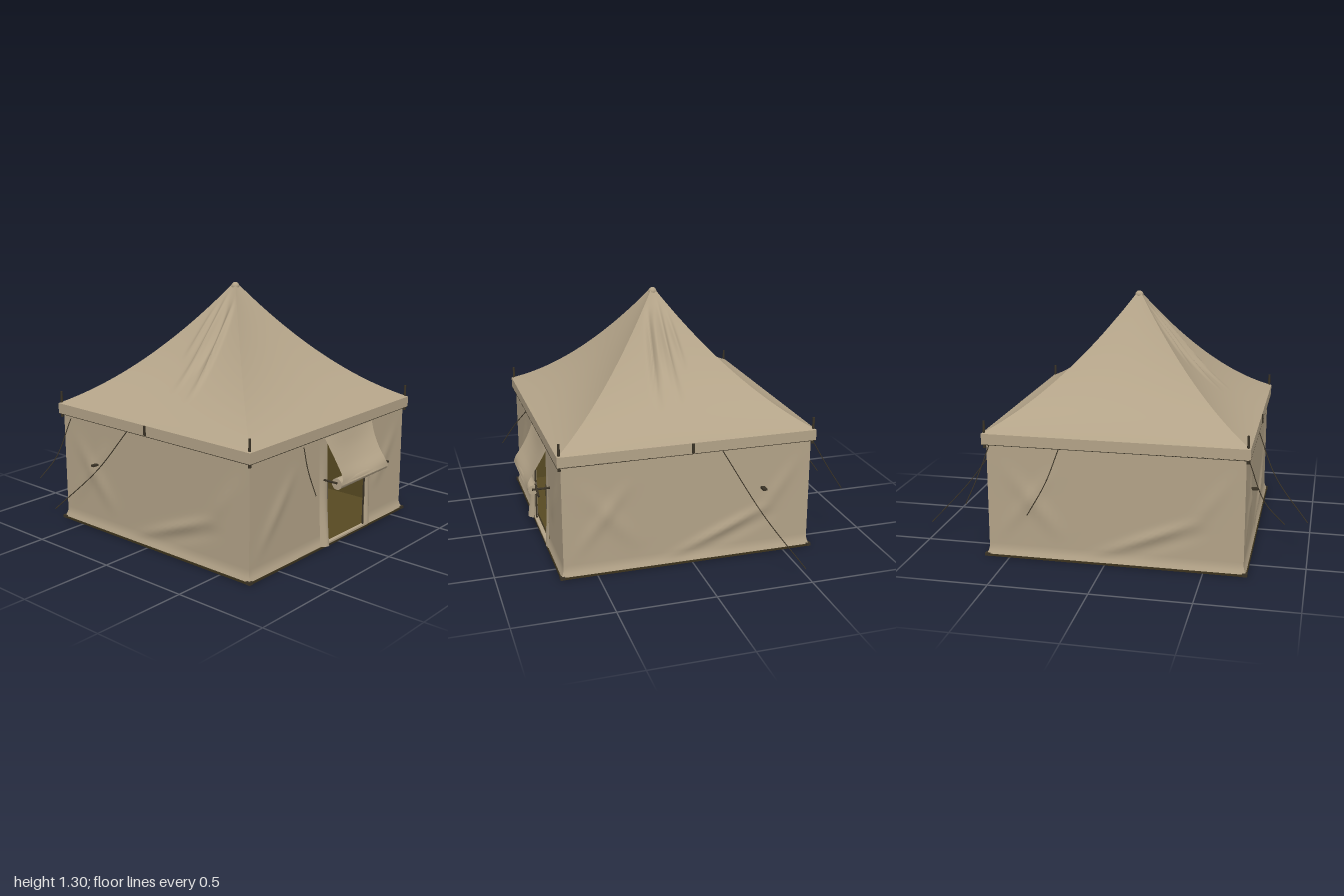
import * as THREE from 'three';

const mat = (name, color, side = THREE.FrontSide) => {
  const m = new THREE.MeshStandardMaterial({ color, side });
  m.name = name;
  return m;
};
const H = 0.655;      // half width of the walls
const EAVE = 0.675;   // half width of the roof edge

// Grid surface: f(u, v) with u, v in 0..1 gives a point
function surface(nu, nv, f) {
  const g = new THREE.PlaneGeometry(1, 1, nu, nv);
  const p = g.attributes.position;
  for (let i = 0; i < p.count; i++) p.setXYZ(i, ...f(p.getX(i) + 0.5, p.getY(i) + 0.5));
  g.computeVertexNormals();
  return g;
}

// Soft fold along the line a-b, with a rounded cross-section
function fold(x, y, ax, ay, bx, by, width, depth) {
  const dx = bx - ax, dy = by - ay, l2 = dx * dx + dy * dy;
  const t = ((x - ax) * dx + (y - ay) * dy) / l2;
  const d = ((x - ax) * dy - (y - ay) * dx) / Math.sqrt(l2);
  const along = t > 0 && t < 1 ? Math.sin(Math.PI * t) : 0;
  return depth * along * Math.exp(-((d / width) ** 2));
}

export function createModel() {
  const canvas = mat('canvas', 0xb3a388, THREE.DoubleSide);
  const lining = mat('olive lining', 0x574a22, THREE.DoubleSide);
  const ground = mat('dark groundsheet', 0x3b321d);
  const dark = mat('dark fittings', 0x3a3326);

  const model = new THREE.Group();
  model.name = 'tent';
  const tent = new THREE.Group();
  tent.name = 'tentBody';
  tent.position.set(0.015, 0, 0.045);
  model.add(tent);
  const add = (parent, name, geo, material, x = 0, y = 0, z = 0) => {
    const m = new THREE.Mesh(geo, material);
    m.name = name;
    m.position.set(x, y, z);
    parent.add(m);
    return m;
  };

  // Canvas wall panel with folds and a flared skirt
  const wall = (k, u0, u1, y0, y1, nu, nv) => surface(nu, nv, (a, b) => {
    const u = u0 + (u1 - u0) * a, y = y0 + (y1 - y0) * b;
    const flare = 0.016 * Math.max(0, 1 - y / 0.04);
    const mask = (1 - (u / H) ** 4) * Math.sin(Math.PI * Math.min(1, y / 0.6));
    let d = 0;
    if (k !== 1) {
      d += fold(u, y, -0.2, 0.0, 0.45, 0.27, 0.025, 0.018);
      d -= fold(u, y, -0.1, -0.02, 0.5, 0.22, 0.03, 0.01);
      d += fold(u, y, -0.62, 0.55, -0.25, 0.1, 0.04, 0.01);
    }
    d += fold(u, y, 0.64, 0.58, 0.38, 0.2, 0.035, 0.01);
    d += fold(u, y, -0.64, 0.05, -0.3, 0.5, 0.035, 0.01);
    return [u * (H + flare) / H, y, H + flare + d * mask];
  });

  // Roof slope, sagging between the ridges, gathered near the peak
  const slope = (k) => surface(56, 48, (a, b) => {
    const u = a * 2 - 1, r = EAVE * (1 - b), x = u * r;
    let y = Math.min(1.298, 1.305 - 1.435 * r + 0.7 * r * r);
    y -= 0.022 * (1 - u * u) * Math.sin(Math.PI * b);
    let d = 0;
    if (k % 2 === 0) {
      const s = k === 0 ? 1 : -1;
      for (const [x0, x1, lo, hi, depth] of [[-0.09, -0.05, 0.92, 1.2, 0.014],
        [-0.02, -0.01, 0.78, 1.25, 0.02], [0.04, 0.02, 0.85, 1.2, -0.014],
        [0.1, 0.05, 0.76, 1.22, 0.022]]) d += fold(x, y, s * x0, lo, s * x1, hi, 0.014, depth);
      d *= 1 - u ** 4;
    }
    return [x, y + d * 0.7, r + d * 0.7];
  });

  for (let k = 0; k < 4; k++) {
    const side = new THREE.Group();
    side.name = ['frontSide', 'leftSide', 'backSide', 'rightSide'][k];
    side.rotation.y = k * Math.PI / 2;
    tent.add(side);
    add(side, 'roofSlope', slope(k), canvas);
    add(side, 'valance', new THREE.BoxGeometry(EAVE * 2, 0.055, 0.03), canvas, 0, 0.628, EAVE - 0.015);
    add(side, 'valanceHem', new THREE.BoxGeometry(EAVE * 2, 0.005, 0.004), dark, 0, 0.6, EAVE - 0.002);
    add(side, 'cornerPost', new THREE.CylinderGeometry(0.006, 0.008, 0.14, 8), dark, EAVE - 0.013, 0.65, EAVE - 0.013);
    add(side, 'cornerPeg', new THREE.BoxGeometry(0.025, 0.015, 0.025), dark, H + 0.008, 0.008, H + 0.008);
    if (k !== 1) {
      add(side, 'wall', wall(k, -H, H, 0.008, 0.61, 48, 30), canvas);
      const inner = new THREE.PlaneGeometry(1.27, 0.59).rotateY(Math.PI);
      add(side, 'innerLining', inner, lining, 0, 0.305, H - 0.02);
    } else {
      add(side, 'wallBesideDoor', wall(k, -H, -0.045, 0.008, 0.61, 24, 30), canvas);
      add(side, 'wallBesideDoor', wall(k, 0.285, H, 0.008, 0.61, 16, 30), canvas);
      add(side, 'wallAboveDoor', wall(k, -0.045, 0.285, 0.57, 0.61, 8, 2), canvas);
      addDoor(side);
    }
    if (k % 2 === 0) {
      // Eave buckle and wall toggle on front and back
      const s = k === 0 ? 1 : -1;
      add(side, 'eaveBuckle', new THREE.BoxGeometry(0.012, 0.05, 0.014), dark, -0.01 * s, 0.63, EAVE);
      add(side, 'wallToggle', new THREE.BoxGeometry(0.022, 0.01, 0.04), dark, -0.395 * s, 0.365, H + 0.02);
    }
  }

  // Door: awning with rolled end, props and side flaps
  function addDoor(side) {
    const profile = new THREE.CatmullRomCurve3([[0, 0.585], [0.03, 0.52], [0.07, 0.45], [0.105, 0.395], [0.112, 0.36]]
      .map(([d, y]) => new THREE.Vector3(0, y, H + d)));
    add(side, 'awning', surface(16, 14, (a, b) => {
      const p = profile.getPoint(1 - b);
      const half = 0.21 - 0.02 * Math.sin(Math.PI * (1 - b));
      const sag = 0.012 * Math.sin(Math.PI * a) * Math.sin(Math.PI * b);
      return [0.135 + (a * 2 - 1) * half, p.y - sag, p.z + 0.004 - sag];
    }), canvas);
    const roll = add(side, 'awningRoll', new THREE.CylinderGeometry(0.03, 0.026, 0.425, 16), canvas, 0.135, 0.362, H + 0.085);
    roll.rotation.z = Math.PI / 2;
    for (const [u, out] of [[-0.085, 0.08], [0.36, 0.085]]) {
      const prop = add(side, 'awningProp', new THREE.CylinderGeometry(0.006, 0.006, 0.1, 8), dark, u, 0.37, H + out / 2);
      prop.rotation.x = Math.PI / 2;
    }
    const tie = add(side, 'awningTie', new THREE.CylinderGeometry(0.006, 0.006, 0.09, 8), dark, 0.375, 0.37, H + 0.07);
    tie.rotation.z = 1.2;
    for (const [u0, u1, top, out] of [[-0.12, -0.05, 0.57, 0.045], [0.285, 0.335, 0.57, 0.02]]) {
      add(side, 'doorFlap', surface(6, 16, (a, b) => [
        u0 + (u1 - u0) * a, 0.02 + (top - 0.02) * b,
        H + 0.004 + out * (1 - b) ** 1.6 * (0.4 + 0.6 * Math.sin(Math.PI * a)),
      ]), canvas);
      add(side, 'doorSeam', new THREE.BoxGeometry(0.006, 0.34, 0.008), dark, u0 < 0 ? u1 : u0, 0.19, H + 0.006);
    }
    add(side, 'doorSill', new THREE.BoxGeometry(0.4, 0.012, 0.02), canvas, 0.12, 0.014, H + 0.006);
  }

  // Groundsheet, inner floor and ceiling
  add(tent, 'groundsheet', new THREE.BoxGeometry(1.345, 0.01, 1.345), ground, 0, 0.005, 0);
  add(tent, 'innerFloor', new THREE.PlaneGeometry(1.28, 1.28).rotateX(-Math.PI / 2), lining, 0, 0.012, 0);
  add(tent, 'innerCeiling', new THREE.PlaneGeometry(1.3, 1.3).rotateX(Math.PI / 2), lining, 0, 0.605, 0);
  add(tent, 'peakCap', new THREE.SphereGeometry(0.022, 16, 10), canvas, 0, 1.278, 0);

  // Guy ropes: start, middle, end
  const ropes = [
    [[-0.13, 0.6, 0.715], [-0.25, 0.39, 0.82], [-0.38, 0.2, 0.995]],
    [[-0.58, 0.58, 0.705], [-0.61, 0.38, 0.79], [-0.63, 0.28, 0.89]],
    [[-0.15, 0.6, -0.63], [-0.31, 0.3, -0.81], [-0.46, 0.08, -1.0]],
    [[-0.65, 0.6, -0.59], [-0.73, 0.45, -0.63], [-0.8, 0.33, -0.67]],
    [[-0.65, 0.6, -0.23], [-0.73, 0.44, -0.28], [-0.815, 0.3, -0.35]],
    [[0.68, 0.58, 0.3], [0.74, 0.49, 0.345], [0.81, 0.38, 0.37]],
  ];
  for (const pts of ropes) {
    const curve = new THREE.CatmullRomCurve3(pts.map((p) => new THREE.Vector3(...p)));
    add(model, 'guyRope', new THREE.TubeGeometry(curve, 20, 0.0025, 6), dark);
  }
  return model;
}
